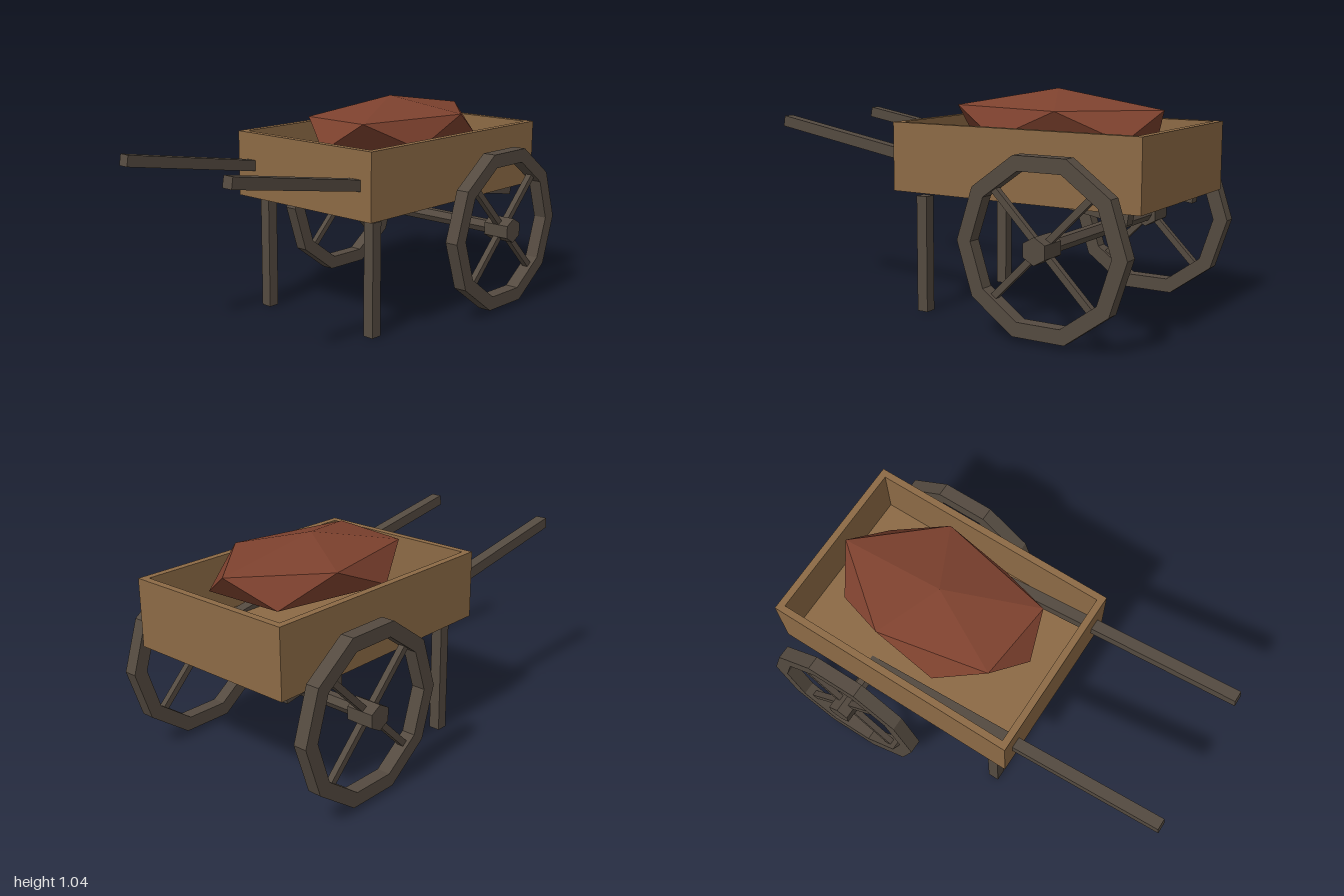
import * as THREE from 'three';
import { ConvexGeometry } from 'three/addons/geometries/ConvexGeometry.js';

const material = (name, color) => {
  const m = new THREE.MeshStandardMaterial({ color, flatShading: true });
  m.name = name;
  return m;
};

export function createModel() {
  const planks = material('tan planks', 0x8c6a45);
  const timber = material('dark timber', 0x544a40);
  const clay = material('red clay', 0x7d412e);
  const cart = new THREE.Group();
  cart.name = 'handcart';

  const add = (parent, name, geometry, mat, x = 0, y = 0, z = 0) => {
    const mesh = new THREE.Mesh(geometry, mat);
    mesh.name = name;
    mesh.position.set(x, y, z);
    parent.add(mesh);
    return mesh;
  };
  const box = (w, h, d) => new THREE.BoxGeometry(w, h, d);

  // Regular polygon in the xy plane with its first corner at angle "start"
  const polygon = (Type, radius, sides, start = 0) => {
    const points = [];
    for (let i = 0; i < sides; i++) {
      const a = start + (i / sides) * Math.PI * 2;
      points.push(new THREE.Vector2(Math.cos(a) * radius, Math.sin(a) * radius));
    }
    return new Type(points);
  };
  const prism = (shape, depth) =>
    new THREE.ExtrudeGeometry(shape, { depth, bevelEnabled: false }).translate(0, 0, -depth / 2);

  // Open tray: four walls and a floor
  const tray = new THREE.Group();
  tray.name = 'tray';
  cart.add(tray);
  const x0 = -0.26, x1 = 0.985, y0 = 0.57, y1 = 0.887, halfZ = 0.43, wall = 0.033;
  const rim = new THREE.Shape([
    new THREE.Vector2(x0, -halfZ), new THREE.Vector2(x1, -halfZ),
    new THREE.Vector2(x1, halfZ), new THREE.Vector2(x0, halfZ),
  ]);
  rim.holes.push(new THREE.Path([
    new THREE.Vector2(x0 + wall, -halfZ + wall), new THREE.Vector2(x0 + wall, halfZ - wall),
    new THREE.Vector2(x1 - wall, halfZ - wall), new THREE.Vector2(x1 - wall, -halfZ + wall),
  ]));
  const walls = new THREE.ExtrudeGeometry(rim, { depth: y1 - y0, bevelEnabled: false });
  add(tray, 'trayWalls', walls.rotateX(-Math.PI / 2), planks, 0, y0, 0);
  add(tray, 'trayFloor', box(x1 - x0 - 2 * wall, 0.048, 2 * (halfZ - wall)), planks,
    (x0 + x1) / 2, y0 + 0.024, 0);

  // Faceted load: apex, upper ring, lower ring, bottom
  const load = [
    [0.36, 1.04, 0],
    [0.885, 0.96, 0], [0.51, 0.952, -0.295], [-0.02, 0.955, -0.19], [-0.06, 0.96, 0.2], [0.52, 0.96, 0.32],
    [-0.12, 0.82, 0], [0.21, 0.825, -0.31], [0.77, 0.83, -0.2], [0.79, 0.83, 0.2], [0.21, 0.825, 0.315],
    [0.36, 0.75, 0],
  ].map((p) => new THREE.Vector3(...p));
  add(cart, 'load', new ConvexGeometry(load), clay);

  // Axle
  const axleX = 0.59, axleY = 0.41;
  add(cart, 'axle', prism(polygon(THREE.Shape, 0.034, 6), 1.06), timber, axleX, axleY, 0);

  for (const side of [1, -1]) {
    const label = side > 0 ? 'front' : 'back';

    // Sloping handle that runs through the tray floor
    const handle = add(cart, label + 'Handle', box(1.92, 0.052, 0.055), timber, -0.05, 0.694, side * 0.34);
    handle.rotation.z = -Math.atan(0.167);

    // Rear leg
    add(cart, label + 'Leg', box(0.055, 0.57, 0.055), timber, -0.149, 0.26, side * 0.342)
      .scale.y = 0.545 / 0.57;
    cart.children.at(-1).position.y = 0.2725;

    // Ten-sided wheel with four spokes and a hexagonal hub
    const wheel = new THREE.Group();
    wheel.name = label + 'Wheel';
    wheel.position.set(axleX, axleY, side * 0.533);
    cart.add(wheel);
    const ring = polygon(THREE.Shape, 0.405, 10);
    ring.holes.push(polygon(THREE.Path, 0.336, 10));
    add(wheel, 'wheelRim', prism(ring, 0.066), timber);
    add(wheel, 'hub', prism(polygon(THREE.Shape, 0.06, 6, Math.PI / 2), 0.134), timber);
    for (let i = 0; i < 2; i++) {
      add(wheel, 'spokePair', box(0.67, 0.03, 0.03), timber).rotation.z = Math.PI / 4 + (i * Math.PI) / 2;
    }
  }
  return cart;
}
